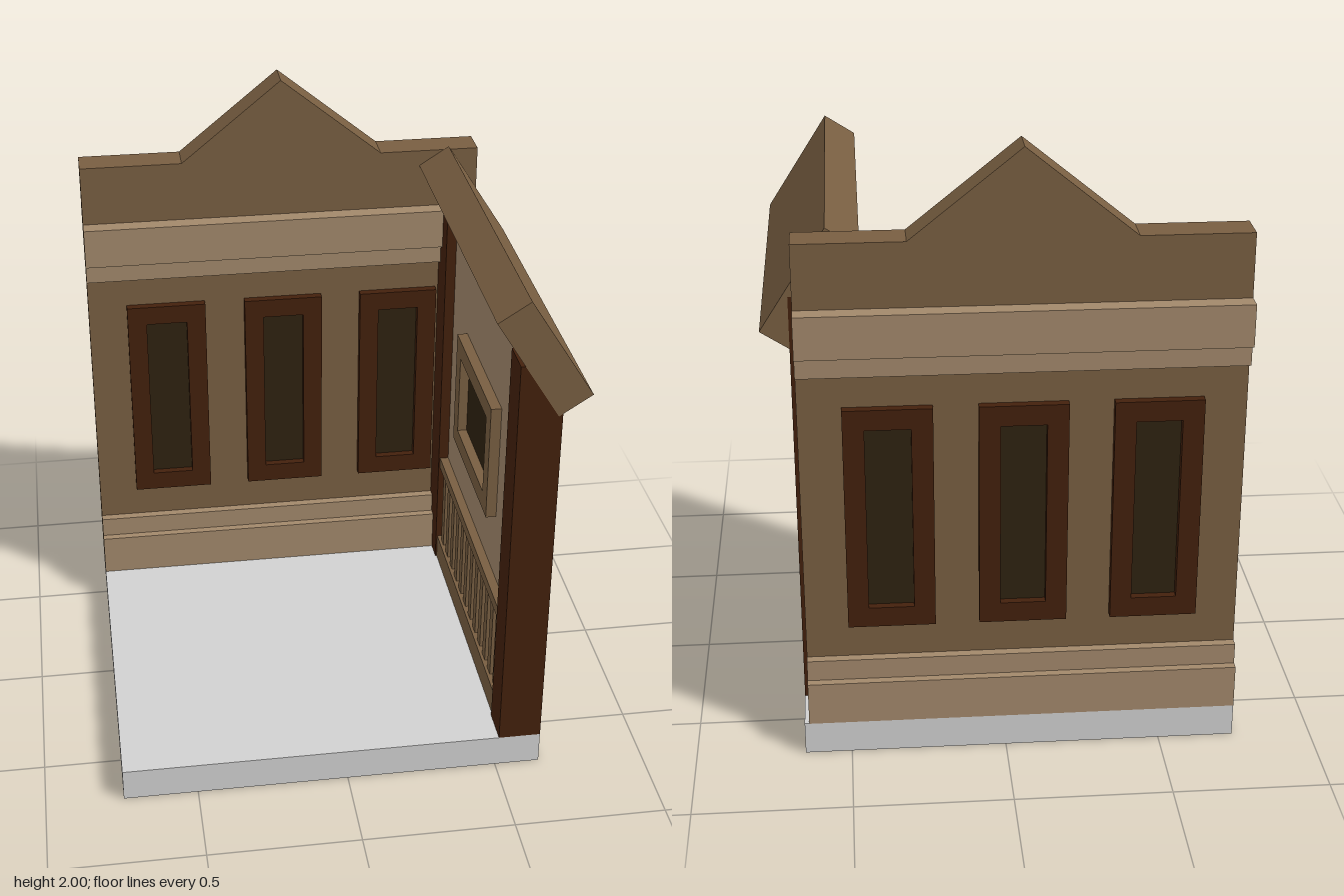
import * as THREE from 'three';

const mat = (name, color) => {
  const m = new THREE.MeshStandardMaterial({ color });
  m.name = name;
  return m;
};

export function createModel() {
  const model = new THREE.Group();
  model.name = 'facadeCorner';
  const brown = mat('brown wood', 0x785e41);
  const tan = mat('tan plaster', 0xa2886b);
  const darkWood = mat('dark wood', 0x43200c);
  const glass = mat('dark glass', 0x2e2210);
  const stone = mat('pale stone', 0xd0d0d0);

  const add = (parent, name, geo, material) => {
    const mesh = new THREE.Mesh(geo, material);
    mesh.name = name;
    parent.add(mesh);
    return mesh;
  };
  // box given by its lower and upper limits on each axis
  const box = (parent, name, material, x0, x1, y0, y1, z0, z1) => {
    const mesh = add(parent, name, new THREE.BoxGeometry(x1 - x0, y1 - y0, z1 - z0), material);
    mesh.position.set((x0 + x1) / 2, (y0 + y1) / 2, (z0 + z1) / 2);
    return mesh;
  };
  const extrude = (shape, depth) =>
    new THREE.ExtrudeGeometry(shape, { depth, bevelEnabled: false });
  const outline = (pts) => new THREE.Shape(pts.map(([x, y]) => new THREE.Vector2(x, y)));
  const rect = (w, h) => [[-w / 2, -h / 2], [w / 2, -h / 2], [w / 2, h / 2], [-w / 2, h / 2]];

  // window that passes through a wall and stands out on both faces
  const makeWindow = (name, w, h, border, frameDepth, glassDepth, frameMat) => {
    const g = new THREE.Group();
    g.name = name;
    const s = outline(rect(w, h));
    const [iw, ih] = [w - 2 * border, h - 2 * border];
    s.holes.push(new THREE.Path(rect(iw, ih).reverse().map(([x, y]) => new THREE.Vector2(x, y))));
    add(g, 'windowFrame', extrude(s, frameDepth).translate(0, 0, -frameDepth / 2), frameMat);
    add(g, 'windowGlass', new THREE.BoxGeometry(iw, ih, glassDepth), glass);
    model.add(g);
    return g;
  };

  // base slab
  box(model, 'base', stone, -0.745, 0.65, 0, 0.11, -0.695, 0.695);

  // gabled back wall
  const wall = outline([[-0.745, 0.11], [0.635, 0.11], [0.635, 1.72], [0.293, 1.72],
    [-0.053, 2], [-0.397, 1.72], [-0.745, 1.72]]);
  add(model, 'backWall', extrude(wall, 0.11).translate(0, 0, -0.64), brown);

  // stepped mouldings on both faces of the back wall
  const steps = [[0.11, 0.255, 0.057], [0.255, 0.325, 0.03], [1.305, 1.375, 0.03], [1.375, 1.513, 0.057]];
  for (const [y0, y1, out] of steps) {
    box(model, 'outerMoulding', tan, -0.745, 0.635, y0, y1, -0.64 - out, -0.64);
    box(model, 'innerMoulding', tan, -0.745, 0.6, y0, y1, -0.53, -0.53 + out);
  }

  // tall windows
  for (const x of [-0.472, -0.055, 0.361]) {
    makeWindow('tallWindow', 0.277, 0.75, 0.067, 0.168, 0.116, darkWood).position.set(x, 0.82, -0.585);
  }

  // side wall between two posts
  box(model, 'sideWall', tan, 0.545, 0.615, 0.11, 1.49, -0.45, 0.62);
  box(model, 'frontPost', darkWood, 0.51, 0.65, 0.11, 1.515, 0.573, 0.695);
  box(model, 'rearPost', darkWood, 0.51, 0.65, 0.11, 1.515, -0.53, -0.403);

  // side window
  const sideWindow = makeWindow('sideWindow', 0.533, 0.412, 0.064, 0.14, 0.076, brown);
  sideWindow.position.set(0.58, 0.974, 0.09);
  sideWindow.rotation.y = Math.PI / 2;

  // railing on both faces of the side wall
  const railing = new THREE.Group();
  railing.name = 'railing';
  model.add(railing);
  box(railing, 'bottomRail', brown, 0.515, 0.645, 0.11, 0.2, -0.403, 0.573);
  box(railing, 'topRail', brown, 0.515, 0.645, 0.505, 0.545, -0.403, 0.573);
  for (let i = 0; i < 12; i++) {
    const z = -0.357 + i * 0.0803;
    box(railing, 'baluster', brown, 0.525, 0.635, 0.2, 0.505, z - 0.02, z + 0.02);
  }

  // sloping roof slab
  const roof = outline([[0.43, 1.665], [0.636, 1.337], [0.74, 1.405], [0.532, 1.731]]);
  add(model, 'roofSlab', extrude(roof, 1.228).translate(0, 0, -0.53), brown);

  return model;
}
